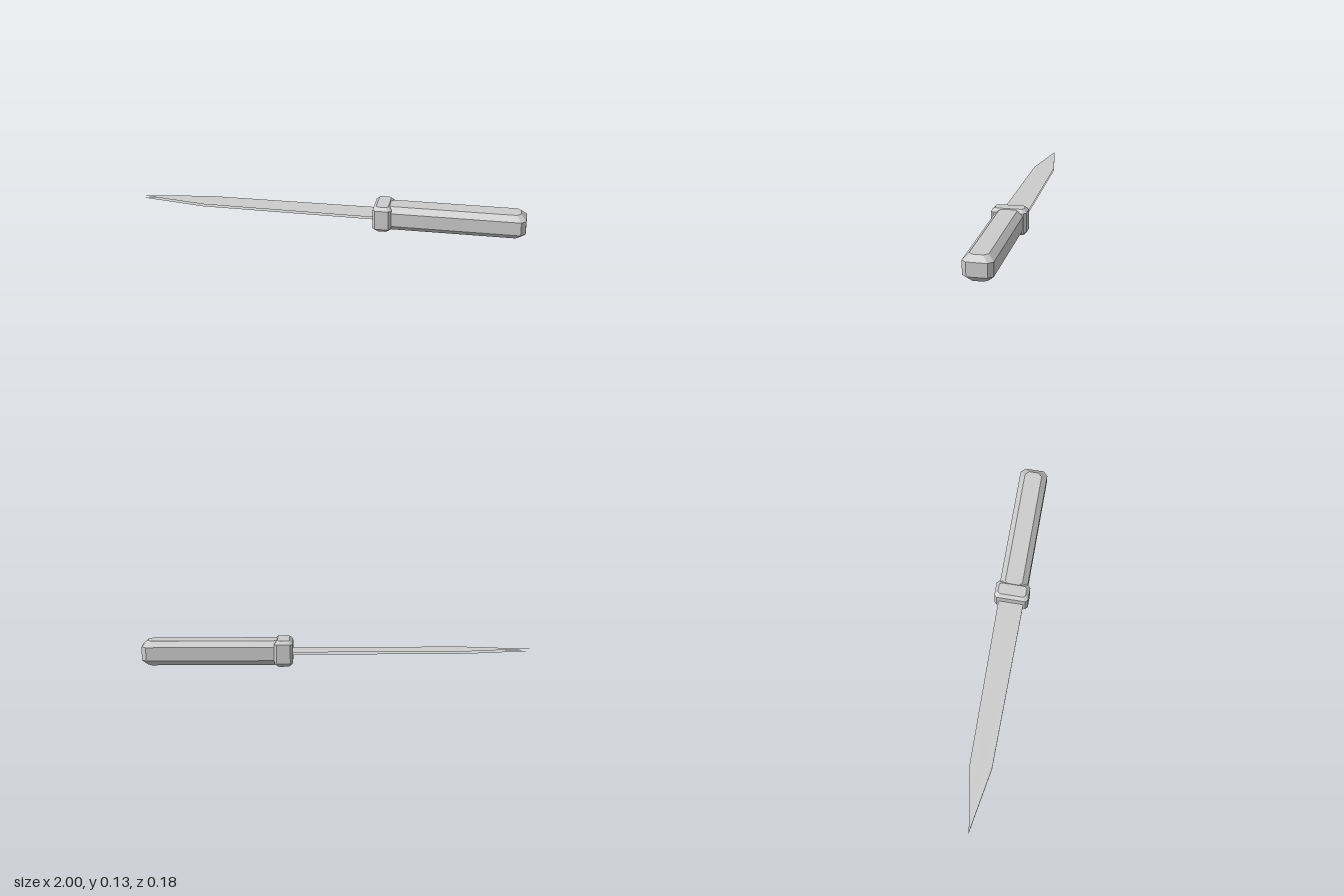
import * as THREE from 'three';

// Eight-sided outline in plan: a rectangle with cut corners, counter-clockwise from above
function ring({ x0, x1, z, cut, y }) {
  const plan = [
    [x1, z - cut], [x1, cut - z], [x1 - cut, -z], [x0 + cut, -z],
    [x0, cut - z], [x0, z - cut], [x0 + cut, z], [x1 - cut, z],
  ];
  return plan.map(([px, pz]) => new THREE.Vector3(px, y, pz));
}

// Closed solid through a stack of rings, bottom to top, with hard facets
function stack(levels) {
  const rings = levels.map(ring);
  const pts = [];
  const n = rings[0].length;
  for (let r = 0; r < rings.length - 1; r++) {
    for (let i = 0; i < n; i++) {
      const j = (i + 1) % n;
      const [a, b, c, d] = [rings[r][i], rings[r][j], rings[r + 1][j], rings[r + 1][i]];
      pts.push(a, b, c, a, c, d);
    }
  }
  const low = rings[0], high = rings[rings.length - 1];
  for (let i = 1; i < n - 1; i++) {
    pts.push(high[0], high[i], high[i + 1], low[0], low[i + 1], low[i]);
  }
  const geometry = new THREE.BufferGeometry().setFromPoints(pts);
  geometry.computeVertexNormals();
  return geometry;
}

// Block with cut vertical corners and sloped top and bottom borders
function bevelledBlock({ x0, x1, z, cut, bottom, top, rise, insetX, insetZ, capCut }) {
  const body = { x0, x1, z, cut };
  const cap = { x0: x0 + insetX, x1: x1 - insetX, z: z - insetZ, cut: capCut };
  return stack([
    { ...cap, y: bottom },
    { ...body, y: bottom + rise },
    { ...body, y: top - rise },
    { ...cap, y: top },
  ]);
}

export function createModel() {
  const group = new THREE.Group();
  const steel = new THREE.MeshStandardMaterial({ color: 0xcccccc });
  steel.name = 'grey steel';
  steel.flatShading = true;
  const sheet = steel;
  sheet.side = THREE.DoubleSide;

  const add = (name, geometry) => {
    const mesh = new THREE.Mesh(geometry, steel);
    mesh.name = name;
    group.add(mesh);
    return mesh;
  };

  // Grip
  add('handle', bevelledBlock({
    x0: 0.275, x1: 1, z: 0.073, cut: 0.024, bottom: 0.004, top: 0.13,
    rise: 0.028, insetX: 0.029, insetZ: 0.028, capCut: 0.02,
  }));

  // Collar between grip and blade
  add('guard', bevelledBlock({
    x0: 0.228, x1: 0.323, z: 0.089, cut: 0.013, bottom: 0, top: 0.134,
    rise: 0.017, insetX: 0.017, insetZ: 0.016, capCut: 0.011,
  }));

  // Blade: two thin parallel sheets, open along the edges
  const outline = new THREE.Shape([
    [-1, 0], [-0.665, -0.057], [0.27, -0.066], [0.27, 0.066], [-0.665, 0.057],
  ].map(([x, y]) => new THREE.Vector2(x, y)));
  for (const [name, side] of [['bladeTop', 1], ['bladeBottom', -1]]) {
    const geometry = new THREE.ShapeGeometry(outline);
    geometry.rotateX(-side * Math.PI / 2);
    add(name, geometry).position.y = 0.067 + side * 0.006;
  }

  return group;
}
